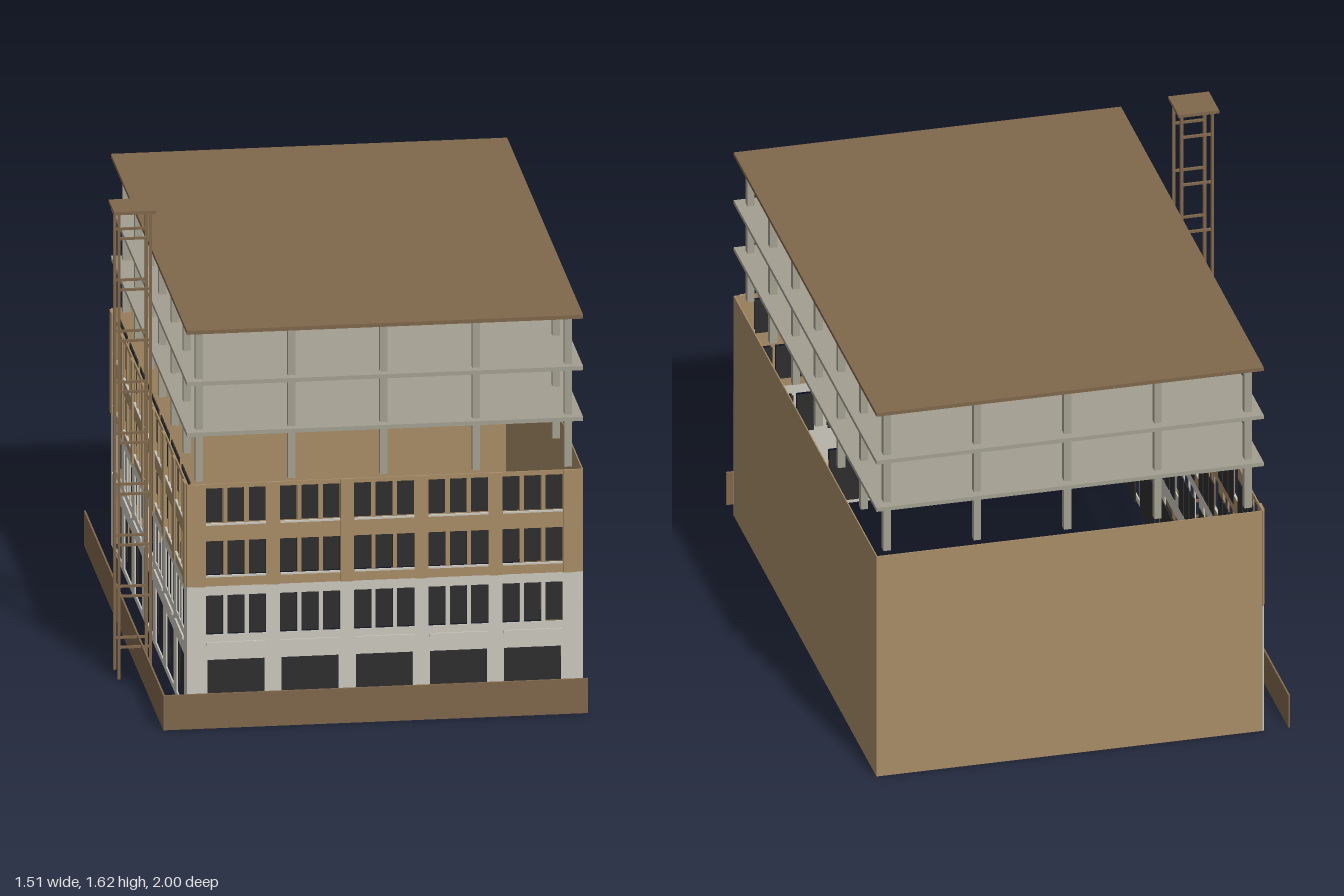
import * as THREE from 'three';

const mat = (name, color, extra = {}) => {
  const m = new THREE.MeshStandardMaterial({ color, ...extra });
  m.name = name;
  return m;
};

export function createModel() {
  const tan = mat('tan brick', 0xa68c66);
  const brown = mat('brown timber', 0x7f674b);
  const pale = mat('pale stone', 0xc9c6bc);
  const concrete = mat('concrete', 0xa39f91);
  const dark = mat('dark glass', 0x2d2d2d);

  const model = new THREE.Group();
  model.name = 'building';

  const addMesh = (parent, name, geo, material) => {
    const m = new THREE.Mesh(geo, material);
    m.name = name;
    parent.add(m);
    return m;
  };
  // Box given by its minimum and maximum on each axis
  const box = (parent, name, material, x0, x1, y0, y1, z0, z1) => {
    const m = addMesh(parent, name, new THREE.BoxGeometry(x1 - x0, y1 - y0, z1 - z0), material);
    m.position.set((x0 + x1) / 2, (y0 + y1) / 2, (z0 + z1) / 2);
    return m;
  };

  const X0 = -0.575, X1 = 0.745, Z0 = -1, Z1 = 0.912;
  const WALL = 0.82, BAND = 0.465;

  // Thin wall sheet with rectangular openings; its outer face is at local z = 0
  const wallSheet = (parent, name, material, u0, u1, v0, v1, openings) => {
    const s = new THREE.Shape();
    s.moveTo(u0, v0).lineTo(u1, v0).lineTo(u1, v1).lineTo(u0, v1).closePath();
    for (const [a, b, c, d] of openings) {
      const h = new THREE.Path();
      h.moveTo(a, c).lineTo(a, d).lineTo(b, d).lineTo(b, c).closePath();
      s.holes.push(h);
    }
    const depth = 0.005;
    const geo = new THREE.ExtrudeGeometry(s, { depth, bevelEnabled: false });
    geo.translate(0, 0, -depth);
    addMesh(parent, name, geo, material);
  };

  // Windowed street facade: u runs along the wall, bays lie between pilaster centres
  const facade = (name, u0, u1, first, pitch, bays) => {
    const g = new THREE.Group();
    g.name = name;
    const lower = [], upper = [];
    for (let i = 0; i < bays; i++) {
      const c = first + pitch * (i + 0.5);
      lower.push([c - 0.095, c + 0.095, 0.02, 0.21]);
      for (const k of [-1, 0, 1]) {
        const a = c + k * 0.0715 - 0.029, b = a + 0.058;
        lower.push([a, b, 0.297, 0.433]);
        upper.push([a, b, 0.502, 0.622], [a, b, 0.682, 0.805]);
      }
      // Sills and the ledge over the ground floor
      for (const y of [0.497, 0.677]) box(g, 'windowSill', pale, c - 0.1, c + 0.1, y, y + 0.006, -0.004, 0.004);
      box(g, 'ledge', pale, c - 0.098, c + 0.098, 0.26, 0.272, -0.004, 0.006);
    }
    wallSheet(g, 'stoneWall', pale, u0, u1, 0, BAND, lower);
    wallSheet(g, 'brickWall', tan, u0, u1, BAND, WALL, upper);
    // Panes set back behind the openings
    for (const [a, b, c, d] of [...lower, ...upper]) box(g, 'windowPane', dark, a, b, c, d, -0.022, -0.018);
    for (let i = 0; i <= bays; i++) {
      const c = first + pitch * i;
      box(g, 'pilaster', tan, c - 0.022, c + 0.022, BAND, WALL, -0.004, 0.006);
    }
    model.add(g);
    return g;
  };
  facade('frontFacade', X0, X1, -0.535, 0.247, 5).position.z = Z1;
  const side = facade('rightFacade', Z0, Z1, -0.965, 0.262, 7);
  side.rotation.y = -Math.PI / 2;
  side.position.x = X0;

  // Plain party walls
  box(model, 'leftWall', tan, X1 - 0.004, X1, 0, WALL, Z0, Z1 - 0.006);
  box(model, 'backWall', tan, X0 + 0.006, X1 - 0.004, 0, WALL, Z0, Z0 + 0.004);

  // Open upper storeys: slabs, roof and a ring of columns
  for (const y of [0.994, 1.17]) box(model, 'floorSlab', concrete, X0, X1, y - 0.007, y + 0.007, Z0, Z1);
  box(model, 'roofSlab', brown, X0, X1, 1.342, 1.355, Z0, Z1);
  for (let i = 0; i < 5; i++) {
    for (let j = 0; j < 7; j++) {
      if (i > 0 && i < 4 && j > 0 && j < 6) continue;
      const x = -0.53 + i * 0.3075, z = -0.955 + j * 0.304;
      box(model, 'column', concrete, x - 0.0125, x + 0.0125, WALL, 1.342, z - 0.0125, z + 0.0125);
    }
  }

  // Site hoarding along the two streets
  box(model, 'frontFence', brown, -0.665, 0.75, 0, 0.12, 0.99, 0.998);
  box(model, 'sideFence', brown, -0.665, -0.659, 0, 0.12, Z0, 0.99);

  // Scaffold tower
  const tower = new THREE.Group();
  tower.name = 'scaffoldTower';
  model.add(tower);
  const r = 0.005, tx = [-0.738, -0.633], tz = [0.329, 0.434];
  for (const z of tz) {
    for (const x of tx) box(tower, 'towerPost', brown, x - r, x + r, 0, 1.615, z - r, z + r);
    for (let i = 0; i < 9; i++) {
      const y = 0.11 + i * 0.1773;
      box(tower, 'towerRung', brown, tx[0] + r, tx[1] - r, y - 0.004, y + 0.004, z - 0.004, z + 0.004);
    }
  }
  box(tower, 'towerPlatform', brown, -0.756, -0.617, 1.614, 1.625, 0.307, 0.446);

  return model;
}
